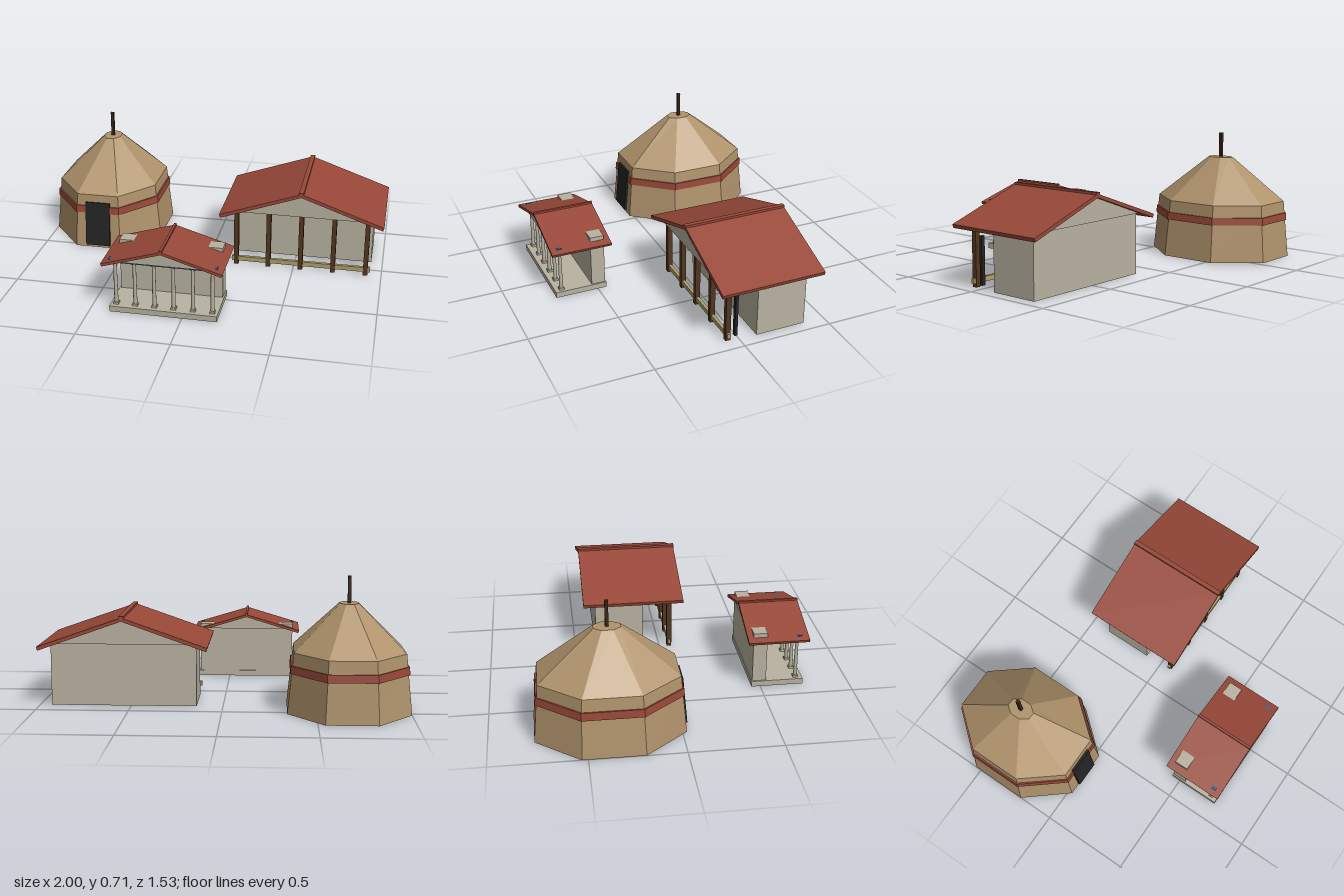
import * as THREE from 'three';

const mat = (name, color) => {
  const m = new THREE.MeshStandardMaterial({ color });
  m.name = name;
  return m;
};

export function createModel() {
  const clay = mat('clay', 0xb0936c);
  const tile = mat('roof tile', 0x984838);
  const stone = mat('stone', 0xb8b2a0);
  const wood = mat('dark wood', 0x53361f);
  const poleWood = mat('pole wood', 0x3a2417);
  const straw = mat('pale timber', 0xb0a06c);
  const black = mat('door black', 0x242424);
  const blue = mat('painted blue', 0x2f6090);

  const model = new THREE.Group();
  model.name = 'settlement';

  const group = (name, x, z) => {
    const g = new THREE.Group();
    g.name = name;
    g.position.set(x, 0, z);
    model.add(g);
    return g;
  };
  const add = (parent, name, geometry, material, x = 0, y = 0, z = 0) => {
    const m = new THREE.Mesh(geometry, material);
    m.name = name;
    m.position.set(x, y, z);
    parent.add(m);
    return m;
  };
  // box given by its ranges on each axis
  const box = (parent, name, material, [x0, x1], [y0, y1], [z0, z1]) =>
    add(parent, name, new THREE.BoxGeometry(x1 - x0, y1 - y0, z1 - z0), material,
      (x0 + x1) / 2, (y0 + y1) / 2, (z0 + z1) / 2);
  // cross-section in x/y, extruded over a range of z
  const prism = (parent, name, material, points, [z0, z1]) => {
    const shape = new THREE.Shape(points.map(([x, y]) => new THREE.Vector2(x, y)));
    const g = new THREE.ExtrudeGeometry(shape, { depth: z1 - z0, bevelEnabled: false });
    return add(parent, name, g, material, 0, 0, z0);
  };
  // stretched octagonal frustum: [half width x, half depth z, y] at bottom and top
  const octagon = (parent, name, material, low, high) => {
    const g = new THREE.CylinderGeometry(1, 1, 1, 8, 1).rotateY(Math.PI / 8).toNonIndexed();
    const p = g.attributes.position;
    const k = 1 / Math.cos(Math.PI / 8);
    for (let i = 0; i < p.count; i++) {
      const [hx, hz, y] = p.getY(i) < 0 ? low : high;
      p.setXYZ(i, p.getX(i) * hx * k, y, p.getZ(i) * hz * k);
    }
    g.computeVertexNormals();
    return add(parent, name, g, material);
  };
  // pitched roof with ridge cap and solid gable
  const roof = (parent, top, eave, thick, gableY, zRoof, zGable, capWidth) => {
    const [w, y] = eave;
    const under = top - thick;
    prism(parent, 'roof', tile, [[0, top], [-w, y], [-w + 0.006, y - thick],
      [0, under], [w - 0.006, y - thick], [w, y]], zRoof);
    box(parent, 'ridgeCap', tile, [-capWidth / 2, capWidth / 2], [top - 0.012, top + 0.008],
      [zRoof[0] - 0.002, zRoof[1] + 0.002]);
    const half = (under - gableY) * w / (top - y);
    prism(parent, 'gable', stone, [[-half, gableY], [half, gableY], [0, under]], zGable);
  };

  // Round clay hut
  const hut = group('hut', -0.673, -0.37);
  octagon(hut, 'hutWall', clay, [0.327, 0.393, 0], [0.294, 0.364, 0.325]);
  octagon(hut, 'hutRoof', clay, [0.294, 0.364, 0.325], [0.05, 0.07, 0.572]);
  octagon(hut, 'hutBand', tile, [0.313, 0.381, 0.215], [0.309, 0.377, 0.257]);
  box(hut, 'roofPole', poleWood, [-0.009, 0.009], [0.56, 0.715], [-0.009, 0.009]);
  const door = box(hut, 'hutDoor', black, [-0.072, 0.074], [0.015, 0.28], [0.367, 0.393]);
  door.rotation.x = -Math.atan(0.029 / 0.325);

  // Long hall with timber porch
  const hall = group('hall', 0.54, 0);
  box(hall, 'hallWall', stone, [-0.396, 0.396], [0, 0.345], [-0.38, -0.1]);
  roof(hall, 0.493, [0.46, 0.332], 0.02, 0.347, [-0.45, 0.133], [-0.43, 0.11], 0.026);
  for (let i = -2; i <= 2; i++) {
    const x = i * 0.185;
    box(hall, 'porchPost', wood, [x - 0.013, x + 0.013], [0, 0.347], [0.045, 0.073]);
  }
  box(hall, 'porchRail', straw, [-0.396, 0.396], [0.02, 0.047], [0.05, 0.068]);
  box(hall, 'innerPost', black, [0.359, 0.381], [0.015, 0.275], [0.004, 0.02]);

  // Small temple with a row of columns
  const temple = group('temple', -0.103, 0);
  box(temple, 'plinth', stone, [-0.29, 0.29], [0, 0.032], [0.45, 0.742]);
  box(temple, 'templeWall', stone, [-0.282, 0.282], [0.032, 0.325], [0.455, 0.533]);
  roof(temple, 0.386, [0.323, 0.289], 0.015, 0.297, [0.422, 0.762], [0.442, 0.742], 0.014);
  box(temple, 'lintel', blue, [-0.29, 0.29], [0.284, 0.304], [0.7, 0.726]);
  for (let i = 0; i < 6; i++) {
    const x = -0.26 + i * 0.104;
    add(temple, 'columnShaft', new THREE.CylinderGeometry(0.009, 0.011, 0.252, 10), stone, x, 0.158, 0.704);
    box(temple, 'columnBase', stone, [x - 0.014, x + 0.014], [0.032, 0.044], [0.69, 0.718]);
    box(temple, 'columnCapital', stone, [x - 0.013, x + 0.013], [0.275, 0.285], [0.691, 0.717]);
  }

  return model;
}
